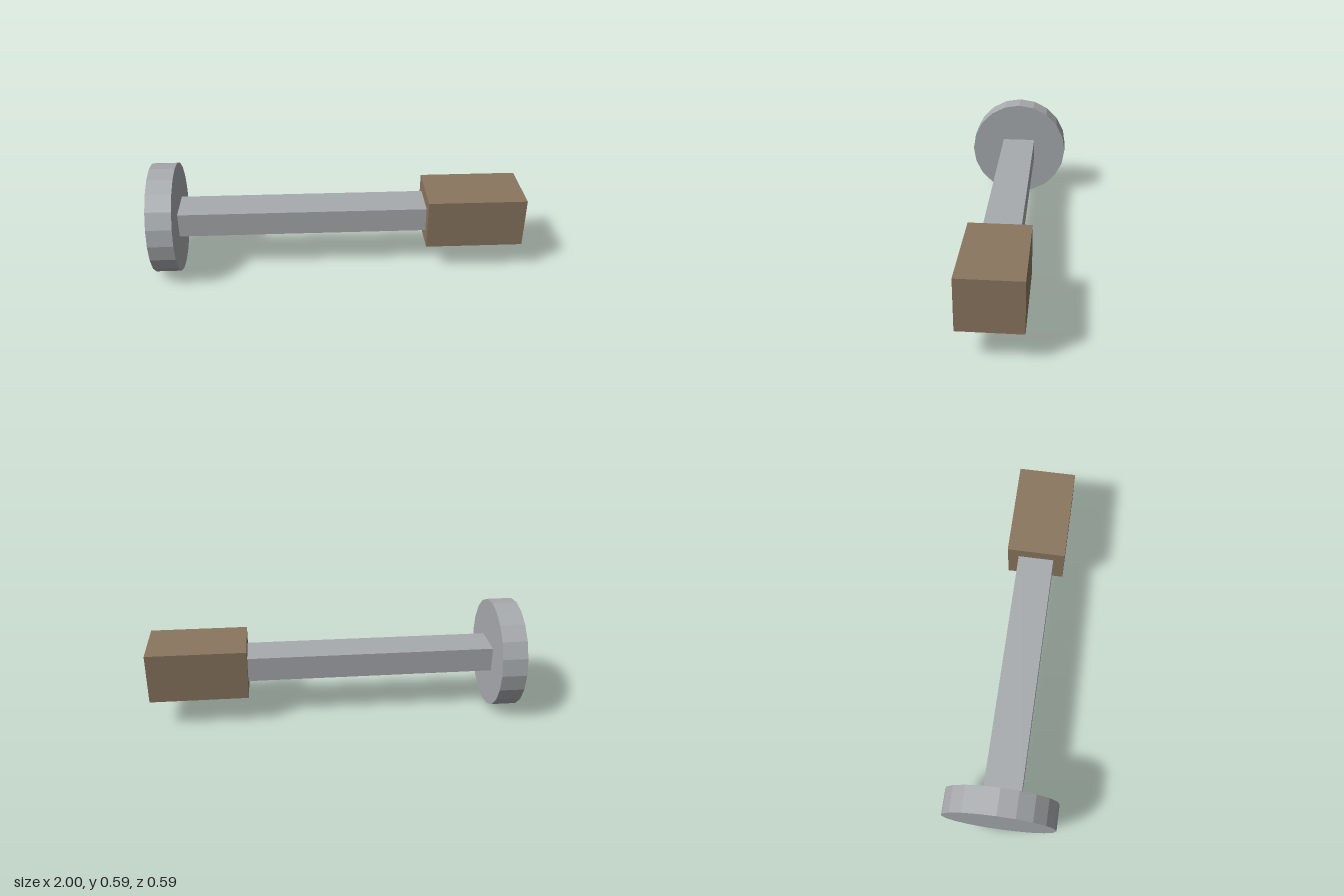
import * as THREE from 'three';

const AXIS_Y = 0.297; // height of the shared centre line

export function createModel() {
  const metal = new THREE.MeshStandardMaterial({ color: 0xa8abae, flatShading: true });
  metal.name = 'grey metal';
  const wood = new THREE.MeshStandardMaterial({ color: 0x8a765f, flatShading: true });
  wood.name = 'brown grip';

  const model = new THREE.Group();
  model.name = 'discHeadedTool';

  // Adds a part on the centre line, spanning x0 to x1
  const add = (name, geometry, material, x0, x1) => {
    const mesh = new THREE.Mesh(geometry, material);
    mesh.name = name;
    mesh.position.set((x0 + x1) / 2, AXIS_Y, 0);
    model.add(mesh);
  };
  const bar = (x0, x1, height, depth) => new THREE.BoxGeometry(x1 - x0, height, depth);

  // Twenty-sided disc head, turned to lie along x
  const disc = new THREE.CylinderGeometry(0.297, 0.297, 0.135, 20).rotateZ(Math.PI / 2);
  add('discHead', disc, metal, -1, -0.865);

  // Flat rectangular shaft and block grip
  add('shaft', bar(-0.865, 0.473, 0.134, 0.198), metal, -0.865, 0.473);
  add('grip', bar(0.473, 1, 0.272, 0.32), wood, 0.473, 1);

  return model;
}
